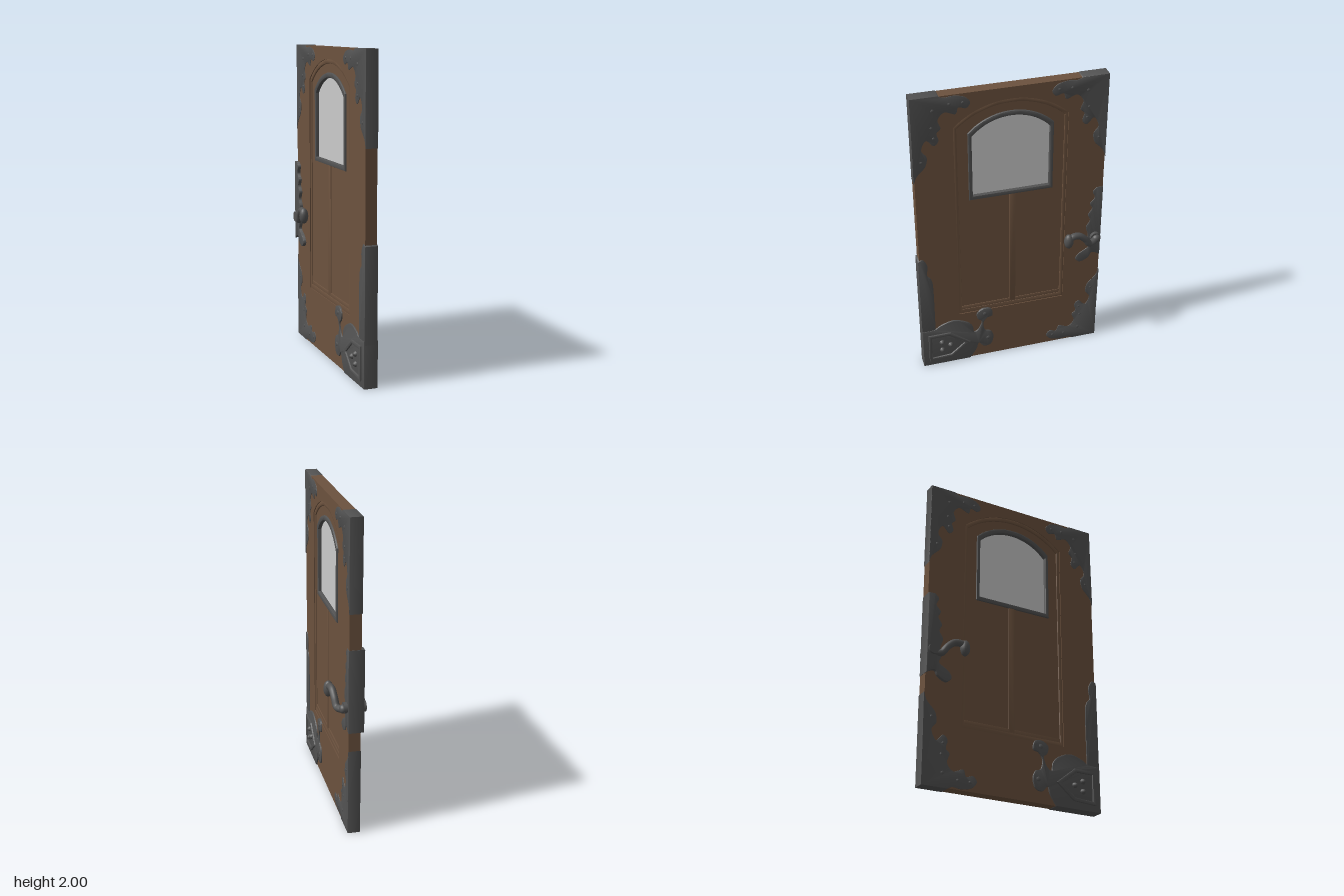
import * as THREE from 'three';
import { toCreasedNormals } from 'three/addons/utils/BufferGeometryUtils.js';

const wood = new THREE.MeshStandardMaterial({ color: 0x6c523e });
const metal = new THREE.MeshStandardMaterial({ color: 0x525252 });
const glass = new THREE.MeshStandardMaterial({ color: 0xcccccc });

// Slab from z0 to z1 with a bevel that stays inside the outline
function slab(name, shape, z0, z1, material, bevel = 0) {
  const geo = new THREE.ExtrudeGeometry(shape, {
    depth: z1 - z0 - 2 * bevel, curveSegments: 10, bevelEnabled: bevel > 0,
    bevelThickness: bevel, bevelSize: bevel, bevelOffset: -bevel, bevelSegments: 2,
  });
  geo.translate(0, 0, z0 + bevel);
  const mesh = new THREE.Mesh(toCreasedNormals(geo, 0.6), material);
  mesh.name = name;
  return mesh;
}

function rect(x0, y0, x1, y1) {
  return new THREE.Shape([[x0, y0], [x1, y0], [x1, y1], [x0, y1]].map(p => new THREE.Vector2(...p)));
}

// Rectangle with a shallow arched top: half width, bottom, shoulder and crown heights
function arch(a, bottom, side, top) {
  const h = top - side, r = (a * a + h * h) / (2 * h), t = Math.asin(a / r);
  const s = new THREE.Shape();
  s.moveTo(-a, bottom);
  s.lineTo(a, bottom);
  s.lineTo(a, side);
  s.absarc(0, top - r, r, Math.PI / 2 - t, Math.PI / 2 + t, false);
  s.lineTo(-a, bottom);
  return s;
}

function pierced(outer, inner) {
  outer.holes.push(inner);
  return outer;
}

// Straight corner followed by a wavy outline, given in hundredths
function wavy(corner, pts, map = (x, y) => [x / 100, y / 100]) {
  const v = pts.map(p => new THREE.Vector2(...map(...p)));
  const s = new THREE.Shape();
  s.moveTo(...map(...corner));
  s.lineTo(v[0].x, v[0].y);
  s.splineThru(v.slice(1));
  s.closePath();
  return s;
}

function ball(name, x, y, z, sx, sy, sz) {
  const m = new THREE.Mesh(new THREE.SphereGeometry(1, 16, 12), metal);
  m.name = name;
  m.position.set(x, y, z);
  m.scale.set(sx, sy, sz);
  return m;
}

const scroll = [[16.5, 0], [20, 1.5], [25.5, 1], [32, 2.5], [35.5, 6.5], [33, 10], [28.5, 9], [26.5, 13],
  [20, 11], [16, 15.5], [17.5, 21], [15, 24], [16, 29], [13, 32], [8.5, 28], [5.5, 34], [8.5, 39],
  [7.5, 45], [4, 49], [1.5, 52], [0, 56.5]];
const bosses = [[31, 6, 2.4], [23, 6, 2.2], [13, 9, 2.8], [12, 20, 2.2], [13, 27, 2.2], [5, 42, 2.2]];

const lockOutline = [[56, 121.5], [53.5, 118.5], [55, 114], [52, 110], [53.5, 106], [51, 101.5], [52.5, 97],
  [50, 92], [51.5, 86], [51, 80], [52, 76], [46, 72], [43.5, 68], [47, 65], [52.5, 67.5], [55, 71], [60.3, 68.5]];

const hingeOutline = [[-29, 0], [-24.5, 7], [-23, 11.5], [-19.5, 8], [-14.5, 9], [-12.7, 15], [-14.5, 20],
  [-18.5, 22], [-19.5, 28], [-17, 32], [-13.2, 33.5], [-14.3, 39], [-19.6, 40], [-23.8, 37], [-23.3, 32.5],
  [-20.7, 29.5], [-22.8, 24], [-26, 22], [-27, 27], [-31, 31.5], [-39.7, 34.7], [-48, 32.5]];
const strapOutline = [[-52, 27], [-52, 62], [-53, 71], [-55.6, 75], [-55, 82], [-57.8, 87.5], [-61, 86.5]];

// Lever on one face of the door
function lever(s) {
  const g = new THREE.Group();
  g.name = s > 0 ? 'leverHandleLeft' : 'leverHandleRight';
  const path = [[0.57, 0.835, 0.04], [0.54, 0.825, 0.062], [0.51, 0.825, 0.075], [0.475, 0.87, 0.081],
    [0.43, 0.905, 0.085], [0.385, 0.905, 0.09], [0.36, 0.88, 0.092]]
    .map(([x, y, d]) => new THREE.Vector3(x, y, s * d + 0.0135));
  const tube = new THREE.Mesh(
    new THREE.TubeGeometry(new THREE.CatmullRomCurve3(path), 32, 0.022, 12), metal);
  tube.name = 'leverArm';
  g.add(tube, ball('leverTip', 0.362, 0.88, s * 0.092 + 0.0135, 0.031, 0.052, 0.03));
  g.add(ball('leverRoot', 0.565, 0.835, s * 0.05 + 0.0135, 0.028, 0.028, 0.024));
  return g;
}

export function createModel() {
  // Drawn face-on, then turned so that the door's thickness runs along x
  const door = new THREE.Group();
  door.name = 'door';
  door.rotation.y = Math.PI / 2;
  door.position.x = -0.0165;

  // Timber: outer slab, stepped molding, sunk panel, centre bar and sill
  door.add(slab('doorSlab', pierced(rect(-0.6, 0.003, 0.6, 1.997), arch(0.355, 0.387, 1.78, 1.922)),
    -0.0365, 0.0365, wood));
  door.add(slab('panelMolding', pierced(arch(0.358, 0.384, 1.78, 1.925), arch(0.333, 0.418, 1.765, 1.895)),
    -0.032, 0.032, wood, 0.006));
  door.add(slab('sunkPanel', pierced(arch(0.345, 0.4, 1.77, 1.91), arch(0.255, 1.275, 1.72, 1.828)),
    -0.024, 0.024, wood));
  door.add(slab('centreBar', rect(-0.012, 0.42, 0.03, 1.27), -0.029, 0.029, wood, 0.006));
  door.add(slab('panelSill', rect(-0.335, 0.41, 0.335, 0.442), -0.028, 0.028, wood, 0.005));

  // Window
  door.add(slab('windowFrame', pierced(arch(0.267, 1.26, 1.725, 1.84), arch(0.243, 1.288, 1.7, 1.808)),
    -0.035, 0.035, metal, 0.008));
  door.add(slab('windowPane', arch(0.25, 1.28, 1.705, 1.815), -0.012, 0.012, glass));

  // Scrolled corner fittings wrapping three corners
  for (const [sx, top] of [[-1, true], [1, true], [1, false]]) {
    const map = (x, y) => [sx * (0.603 - x / 100), top ? 2 - y / 100 : y / 100];
    door.add(slab('cornerScroll', wavy([0, 0], scroll, map), -0.0395, 0.0395, metal, 0.003));
    for (const [x, y, r] of bosses) {
      door.add(ball('scrollBoss', ...map(x, y), 0, r / 100, r / 100, 0.0435));
    }
  }

  // Lock plate with its rosettes and two levers
  door.add(slab('lockPlate', wavy([60.3, 121.5], lockOutline), -0.058, 0.041, metal, 0.005));
  const rosette = new THREE.Mesh(
    new THREE.CylinderGeometry(0.034, 0.034, 0.135, 20).rotateX(Math.PI / 2), metal);
  rosette.name = 'rosette';
  rosette.position.set(0.562, 0.84, -0.006);
  door.add(rosette, lever(1), lever(-1));

  // Hinge: strap up the edge, scrolled plate, raised shield and studs
  door.add(slab('hingeStrap', wavy([-61, 27], strapOutline), -0.042, 0.042, metal, 0.004));
  const plate = wavy([-61, 0], hingeOutline);
  plate.lineTo(-0.52, 0.31);
  const plateShape = wavy([-61, 0], [...hingeOutline, [-52, 30], [-56, 29.5], [-61, 29.5]]);
  door.add(slab('hingePlate', plateShape, -0.046, 0.046, metal, 0.006));
  const shield = k => new THREE.Shape([[-57.2, 4], [-41, 5], [-29, 15], [-42.4, 25.7], [-57.2, 25.7]]
    .map(([x, y]) => new THREE.Vector2((-47 + (x + 47) * k) / 100, (15 + (y - 15) * k) / 100)));
  door.add(slab('shieldRim', pierced(shield(1), shield(0.78)), -0.056, 0.056, metal, 0.006));
  for (const [x, y] of [[-0.482, 0.183], [-0.424, 0.151], [-0.482, 0.119]]) {
    door.add(ball('hingeStud', x, y, 0, 0.026, 0.026, 0.066));
  }
  for (const [x, y] of [[-0.185, 0.36], [-0.165, 0.15]]) {
    door.add(ball('hingeScrollBoss', x, y, 0, 0.034, 0.034, 0.052));
  }

  const model = new THREE.Group();
  model.name = 'panelDoor';
  model.add(door);
  return model;
}
